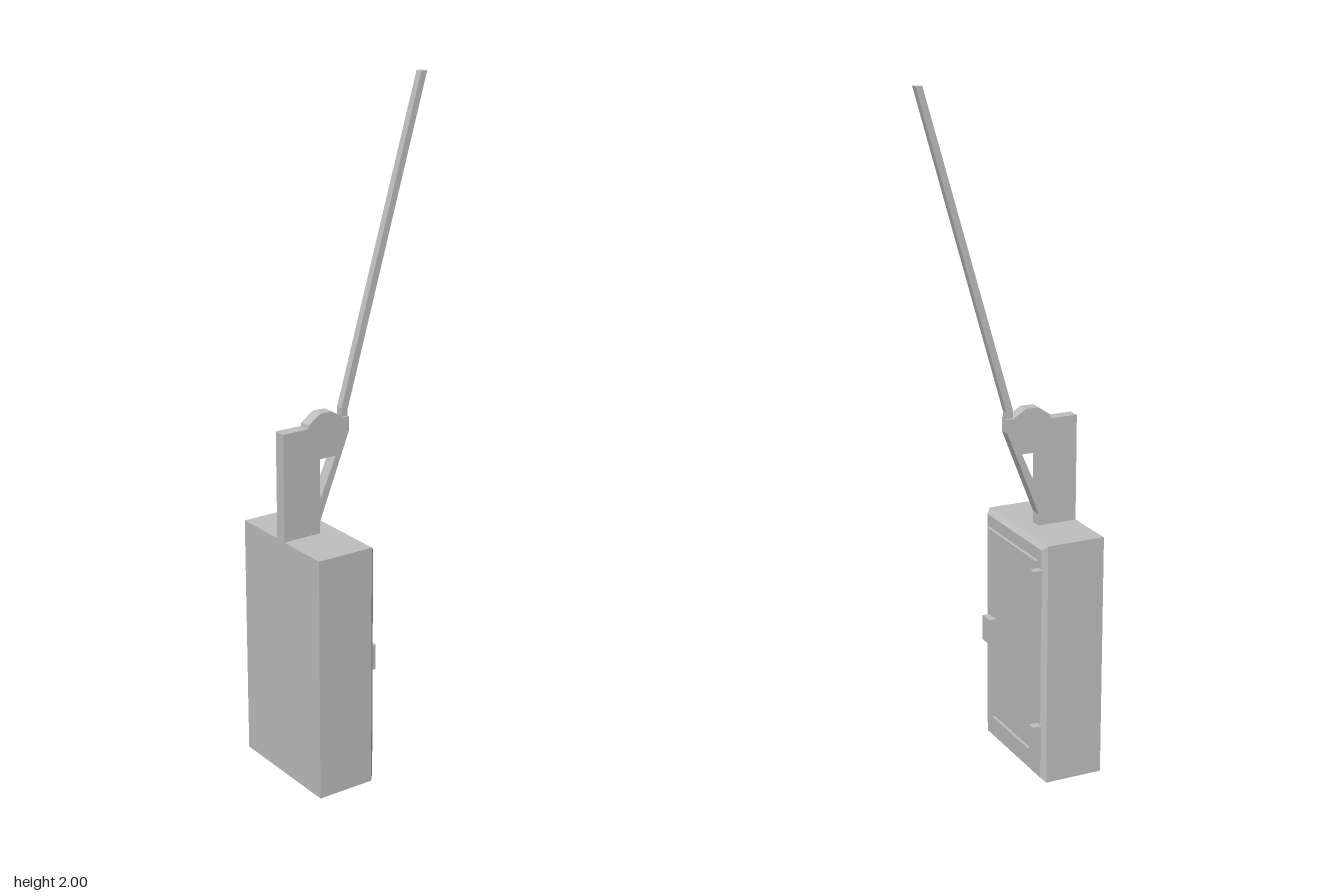
import * as THREE from 'three';

const grey = new THREE.MeshStandardMaterial({ color: 0xbfbfbf });
grey.name = 'grey metal';

const part = (name, geometry) => {
  const mesh = new THREE.Mesh(geometry, grey);
  mesh.name = name;
  return mesh;
};

// Box given by its limits on each axis
const block = (name, [x0, x1], [y0, y1], [z0, z1]) => {
  const mesh = part(name, new THREE.BoxGeometry(x1 - x0, y1 - y0, z1 - z0));
  mesh.position.set((x0 + x1) / 2, (y0 + y1) / 2, (z0 + z1) / 2);
  return mesh;
};

const toPoints = (list) => list.map(([a, b]) => new THREE.Vector2(a, b));

// Side profile given as [z, y] points, extruded across x and centred
const sideProfile = (outline, width, hole) => {
  const shape = new THREE.Shape(toPoints(outline));
  if (hole) shape.holes.push(new THREE.Path(toPoints(hole)));
  return new THREE.ExtrudeGeometry(shape, { depth: width, bevelEnabled: false })
    .translate(0, 0, -width / 2)
    .rotateY(-Math.PI / 2);
};

const rectangle = (x, y0, y1) => [[-x, y0], [x, y0], [x, y1], [-x, y1]];

// Cabinet with a chamfer around its rear face
function cabinetGeometry() {
  const box = new THREE.BoxGeometry(0.38, 0.73, 2, 1, 1, 2);
  const pos = box.attributes.position;
  for (let i = 0; i < pos.count; i++) {
    const z = pos.getZ(i);
    if (z < -0.5) {
      pos.setX(i, pos.getX(i) - Math.sign(pos.getX(i)) * 0.014);
      pos.setY(i, pos.getY(i) - Math.sign(pos.getY(i)) * 0.014);
    }
    pos.setZ(i, z < -0.5 ? 0.051 : z > 0.5 ? 0.243 : 0.065);
  }
  const flat = box.toNonIndexed().translate(0, 0.365, 0);
  flat.computeVertexNormals();
  return flat;
}

export function createModel() {
  const model = new THREE.Group();
  model.name = 'leverBox';
  model.add(part('cabinet', cabinetGeometry()));

  // Door frame around a shallow recess
  const frame = new THREE.Shape(toPoints(rectangle(0.158, 0.05, 0.68)));
  frame.holes.push(new THREE.Path(toPoints(rectangle(0.126, 0.082, 0.648))));
  model.add(part('doorFrame',
    new THREE.ExtrudeGeometry(frame, { depth: 0.009, bevelEnabled: false }).translate(0, 0, 0.042)));

  // Hinges and latch
  for (const y of [0.073, 0.55]) {
    model.add(block('hinge', [-0.188, -0.163], [y, y + 0.11], [0.022, 0.048]));
  }
  model.add(block('latch', [0.103, 0.15], [0.33, 0.408], [0.022, 0.046]));

  // Upright bracket with a rounded head and a diagonal strut
  model.add(part('bracket', sideProfile(
    [[0.243, 0.72], [0.243, 1.048], [0.16, 1.048], [0.158, 1.058], [0.12, 1.085], [0.08, 1.085],
      [0.04, 1.06], [0.022, 1.06], [0.022, 1.018], [0.122, 0.765], [0.122, 0.72]],
    0.037,
    [[0.121, 0.952], [0.121, 0.83], [0.068, 0.952]])));

  // Long bent lever arm
  model.add(part('leverArm', sideProfile(
    [[0.042, 1.0], [0.042, 1.085], [-0.225, 2], [-0.245, 2], [0.021, 1.08], [0.021, 1.02]], 0.022)));

  return model;
}
